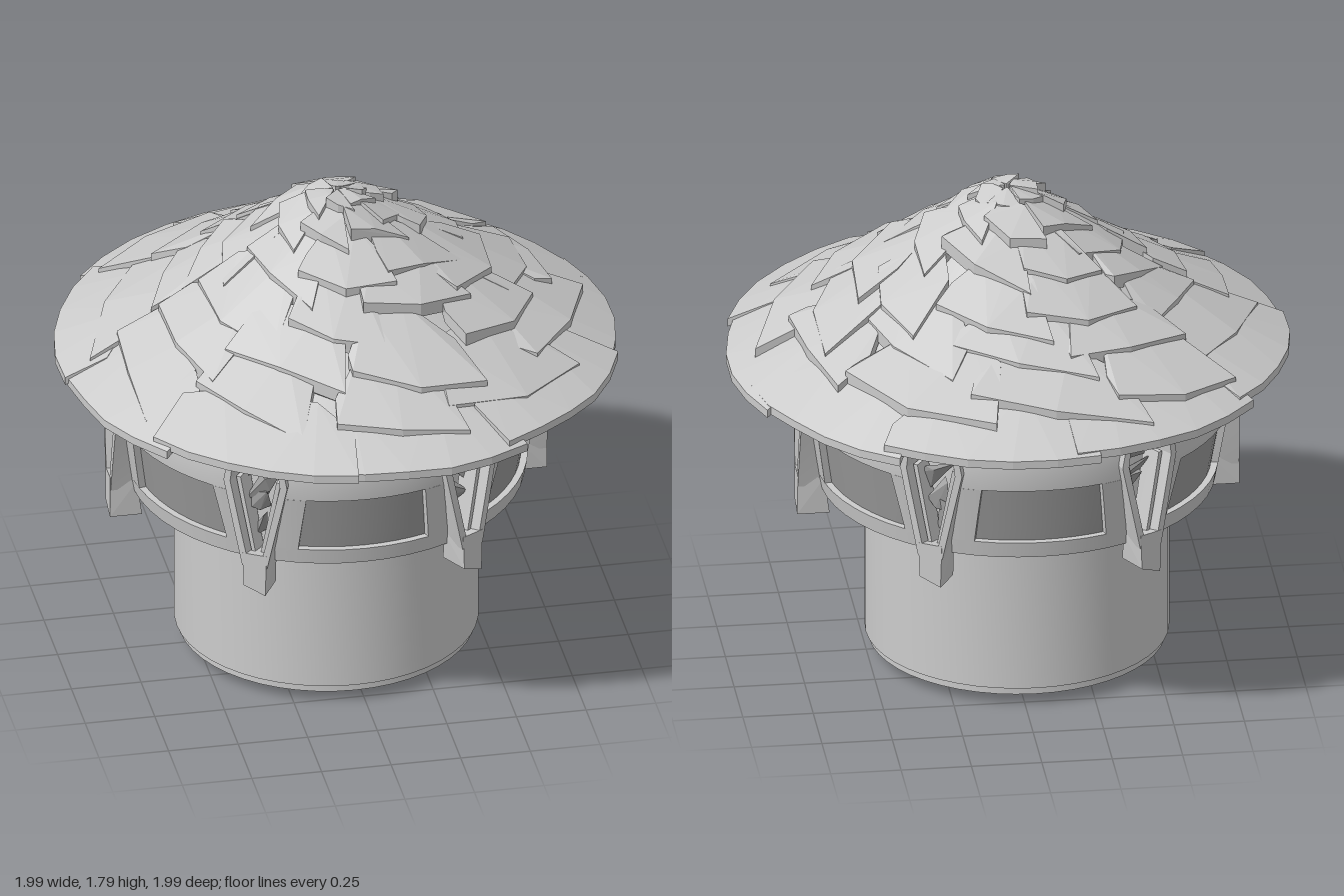
import * as THREE from 'three';
import { toCreasedNormals } from 'three/addons/utils/BufferGeometryUtils.js';
import { ConvexGeometry } from 'three/addons/geometries/ConvexGeometry.js';

const grey = new THREE.MeshStandardMaterial({ color: 0xcccccc });
const greyTwoSided = new THREE.MeshStandardMaterial({ color: 0xcccccc, side: THREE.DoubleSide });
const paneGrey = new THREE.MeshStandardMaterial({ color: 0x9c9c9c });
const R = 0.76; // radius along which arc lengths are measured
const SECTORS = 6;

let seed = 11;
const rand = () => (seed = (seed * 16807) % 2147483647) / 2147483647;
const jitter = (amount) => (rand() * 2 - 1) * amount;

function add(parent, name, geometry, material = grey) {
  const mesh = new THREE.Mesh(geometry, material);
  mesh.name = name;
  parent.add(mesh);
  return mesh;
}

const lathe = (pts, segments) =>
  new THREE.LatheGeometry(pts.map(([x, y]) => new THREE.Vector2(x, y)), segments);

// Outer face of the gallery wall: flares up to the window heads, then leans in
const wallRadius = (y) => (y < 0.97 ? 0.7 + (y - 0.66) * 0.18 : 0.756 - 0.03 * ((y - 0.97) / 0.2) ** 2);
const paneRadius = (y) => wallRadius(y) - 0.025;
const armRadius = () => 0.785;
const innerArmRadius = () => 0.745;

// Block bent round the gallery: corners in (arc length, height), from bottom left anticlockwise
function bent([bl, br, tr, tl], radius, depth) {
  const geo = new THREE.BoxGeometry(1, 1, 1, 8, 4, 1);
  const p = geo.attributes.position;
  const mix = THREE.MathUtils.lerp;
  for (let i = 0; i < p.count; i++) {
    const u = p.getX(i) + 0.5, v = p.getY(i) + 0.5;
    const s = mix(mix(bl[0], br[0], u), mix(tl[0], tr[0], u), v);
    const y = mix(mix(bl[1], br[1], u), mix(tl[1], tr[1], u), v);
    const r = radius(y) + (p.getZ(i) - 0.5) * depth;
    p.setXYZ(i, r * Math.sin(s / R), y, r * Math.cos(s / R));
  }
  return toCreasedNormals(geo, 0.6);
}

// One wall section with a trapezoid window set back in its frame
function wallSection() {
  const g = new THREE.Group();
  g.name = 'wallSection';
  const strips = [
    [[-0.355, 0.66], [0.355, 0.66], [0.345, 0.72], [-0.345, 0.72]],
    [[-0.305, 0.94], [0.305, 0.94], [0.275, 1.18], [-0.275, 1.18]],
    [[-0.345, 0.72], [-0.255, 0.72], [-0.22, 0.94], [-0.305, 0.94]],
    [[0.255, 0.72], [0.345, 0.72], [0.305, 0.94], [0.22, 0.94]],
  ];
  strips.forEach((q) => add(g, 'windowFrame', bent(q, wallRadius, 0.06)));
  const pane = [[-0.265, 0.71], [0.265, 0.71], [0.23, 0.95], [-0.23, 0.95]];
  add(g, 'windowPane', bent(pane, paneRadius, 0.02), paneGrey);
  return g;
}

// V-shaped bracket with a recessed hood, a foot and rubble in its niche
function bracket() {
  const g = new THREE.Group();
  g.name = 'bracket';
  for (const m of [-1, 1]) {
    const side = (q) => (m > 0 ? q : [1, 0, 3, 2].map((i) => [-q[i][0], q[i][1]]));
    add(g, 'bracketArm', bent(side([[0.02, 0.67], [0.045, 0.67], [0.115, 1.0], [0.09, 1.0]]), armRadius, 0.12));
    add(g, 'bracketShoulder', bent(side([[0.09, 1.0], [0.115, 1.0], [0.1, 1.08], [0.08, 1.08]]), armRadius, 0.12));
    add(g, 'innerArm', bent(side([[0.008, 0.7], [0.022, 0.7], [0.085, 1.0], [0.068, 1.0]]), innerArmRadius, 0.08));
  }
  // Foot below the gallery floor, wedge-shaped in side view
  const foot = [];
  for (const x of [-1, 1]) {
    const dip = x * 0.015;
    foot.push([x * 0.05, 0.7, 0.69], [x * 0.045, 0.72, 0.785]);
    foot.push([x * 0.04, 0.575 - dip, 0.67], [x * 0.04, 0.575 - dip, 0.785]);
  }
  add(g, 'bracketFoot', new ConvexGeometry(foot.map((p) => new THREE.Vector3(...p))));
  const hood = add(g, 'hood', toCreasedNormals(new THREE.CylinderGeometry(0.125, 0.105, 0.12, 16), 0.6), paneGrey);
  hood.position.set(0, 1.125, 0.6);
  // Broken stones
  for (let i = 0; i < 4; i++) {
    const y = 0.79 + i * 0.08, w = 0.035 + i * 0.016;
    const pts = Array.from({ length: 7 }, () => new THREE.Vector3(jitter(w), y + jitter(0.07), 0.68 + jitter(0.03)));
    add(g, 'nicheStone', new ConvexGeometry(pts), paneGrey);
  }
  return g;
}

// Height of the roof at a given radius
const slope = [[0, 1.775], [0.12, 1.715], [0.28, 1.6], [0.43, 1.49], [0.6, 1.365], [0.8, 1.255], [1, 1.15]];
function roofHeight(r) {
  const i = Math.max(1, slope.findIndex(([x]) => x >= Math.min(r, 1)));
  const [a, b] = [slope[i - 1], slope[i]];
  return a[1] + ((b[1] - a[1]) * (Math.min(r, 1) - a[0])) / (b[0] - a[0]);
}

// Irregular stone slab; its lower edge and trailing side stand proud, so courses seem to spiral
function slab(angle, half, { outer, inner, thick, lift, points, skew, ragged }) {
  const verts = [];
  const put = (a, r, up) => {
    const y = roofHeight(r) + up;
    verts.push(new THREE.Vector3(r * Math.cos(a), y, r * Math.sin(a)));
    verts.push(new THREE.Vector3(r * Math.cos(a), y - thick, r * Math.sin(a)));
  };
  const tilt = skew * (0.15 + jitter(0.25));
  const depth = outer - inner;
  for (let i = 0; i < points; i++) {
    const t = (i / (points - 1)) * 2 - 1;
    const edge = outer - t * skew * depth * 0.5 + jitter(ragged) * depth;
    put(angle + t * half, Math.min(1, edge), lift + t * tilt * 0.1);
  }
  for (const t of [-1, 1]) {
    put(angle + t * half * (1.02 + jitter(0.08)), inner + depth * (0.45 + jitter(0.2)), lift * 0.6 + t * tilt * 0.1);
    put(angle + t * half * (0.5 + jitter(0.2)), inner + depth * Math.abs(jitter(0.12)), 0.012);
  }
  return new ConvexGeometry(verts);
}

function roof() {
  const g = new THREE.Group();
  g.name = 'roof';
  add(g, 'roofBase', lathe(slope.map(([r, y]) => [r * 0.94, y - 0.012 + (r > 0.9 ? 0.03 : 0)]).reverse(), 28), greyTwoSided);
  // Courses: slab count, outer radius, inner radius, thickness, lift
  const courses = [
    [9, 0.995, 0.69, 0.03, 0.02],
    [10, 0.83, 0.54, 0.045, 0.04],
    [9, 0.67, 0.39, 0.048, 0.045],
    [8, 0.52, 0.26, 0.05, 0.05],
    [7, 0.37, 0.14, 0.05, 0.05],
    [7, 0.23, 0.05, 0.045, 0.05],
    [6, 0.12, 0.01, 0.04, 0.045],
  ];
  courses.forEach(([n, outer, inner, thick, lift], row) => {
    const step = (Math.PI * 2) / n;
    const rim = row === 0;
    for (let i = 0; i < n; i++) {
      const angle = (i + row * 0.45) * step + jitter(step * 0.1);
      const half = step * (rim ? 0.57 : 0.53 + jitter(0.1));
      const geo = slab(angle, half, {
        outer: outer * (1 + jitter(rim ? 0.006 : 0.06)),
        inner, thick,
        lift: lift + jitter(0.014),
        points: rim ? 6 : 3,
        skew: rim ? 0.12 : 0.4,
        ragged: rim ? 0.02 : 0.12,
      });
      add(g, rim ? 'eaveSlab' : 'roofSlab', geo);
    }
  });
  return g;
}

export function createModel() {
  const model = new THREE.Group();
  model.name = 'roundTower';

  const tower = new THREE.Group();
  tower.name = 'tower';
  tower.position.x = -0.035;
  model.add(tower);

  // Shaft with ringed underside, gallery floor and core
  const profile = [
    [0, 0.14], [0.15, 0.14], [0.15, 0], [0.24, 0], [0.24, 0.08], [0.3, 0.08], [0.3, 0.03],
    [0.35, 0.03], [0.35, 0.07], [0.4, 0.07], [0.4, 0.028], [0.47, 0.028], [0.47, 0.042], [0.525, 0.042],
    [0.525, 0.065], [0.537, 0.07], [0.537, 0.67], [0.69, 0.67], [0.69, 0.69], [0.65, 0.69],
    [0.65, 1.05], [0.6, 1.28], [0, 1.3],
  ];
  add(tower, 'shaft', toCreasedNormals(lathe(profile, 48), 0.5));

  // Six windows with brackets between them
  for (let i = 0; i < SECTORS; i++) {
    const wall = wallSection();
    wall.rotation.y = (i * Math.PI * 2) / SECTORS;
    const support = bracket();
    support.rotation.y = ((i + 0.5) * Math.PI * 2) / SECTORS;
    tower.add(wall, support);
  }

  model.add(roof());
  return model;
}
